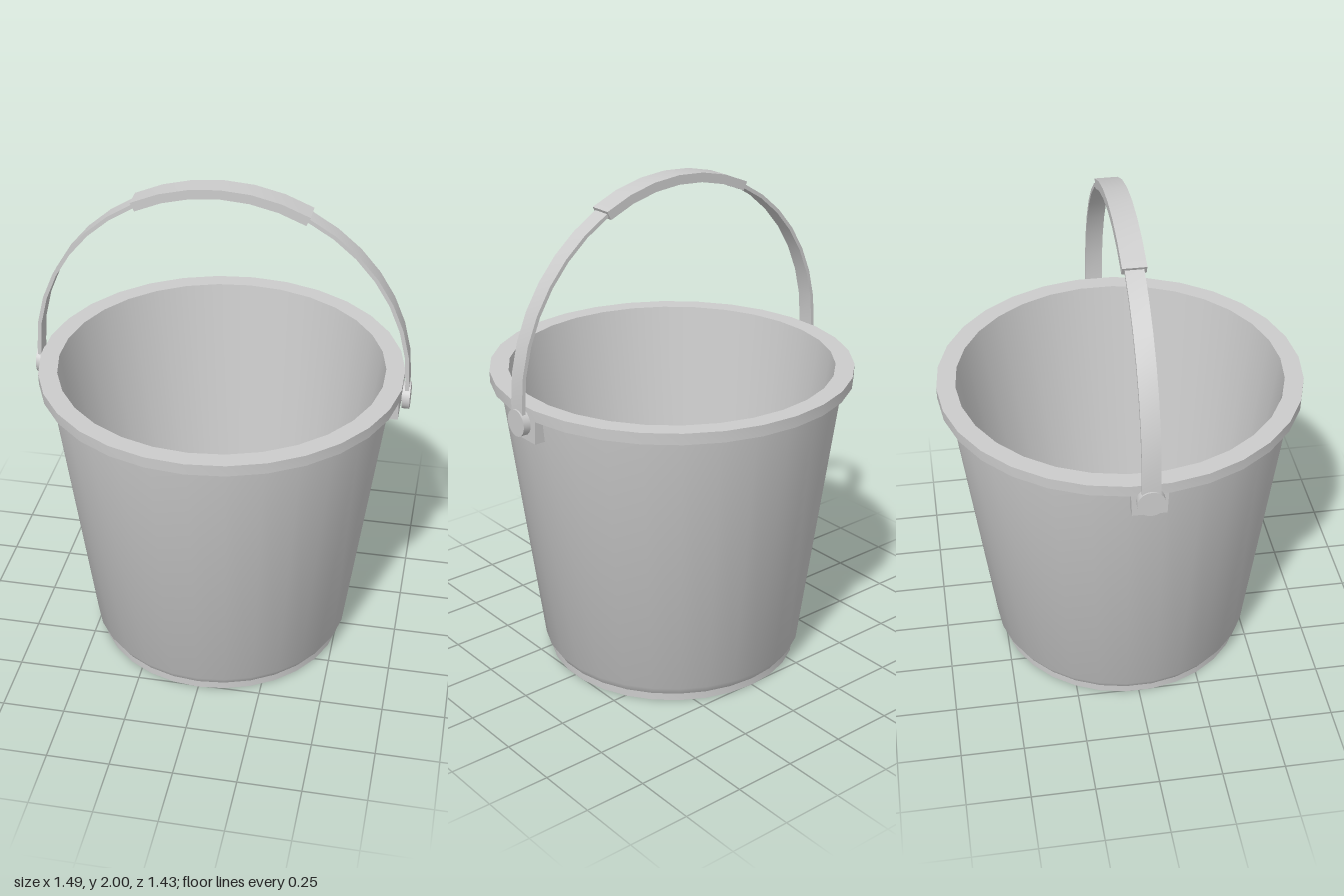
import * as THREE from 'three';
import { toCreasedNormals } from 'three/addons/utils/BufferGeometryUtils.js';

const material = new THREE.MeshStandardMaterial({ color: 0xcccccc });

function addPart(parent, name, geometry, crease = 0.5) {
  const mesh = new THREE.Mesh(toCreasedNormals(geometry, crease), material);
  mesh.name = name;
  parent.add(mesh);
  return mesh;
}

// Curved strip in the xy plane, centred on z = 0; `drop` extends the ends straight down
function bandGeometry({ radius, thickness, width, halfAngle, segments, drop = 0 }) {
  const centreY = 1.25;
  const side = (r) => {
    const points = [];
    for (let i = 0; i <= segments; i++) {
      const a = halfAngle * (1 - (2 * i) / segments);
      points.push(new THREE.Vector2(r * Math.sin(a), centreY + r * Math.cos(a)));
    }
    if (drop) {
      points.unshift(new THREE.Vector2(r, centreY - drop));
      points.push(new THREE.Vector2(-r, centreY - drop));
    }
    return points;
  };
  const outer = side(radius + thickness / 2);
  const inner = side(radius - thickness / 2).reverse();
  const shape = new THREE.Shape([...outer, ...inner]);
  return new THREE.ExtrudeGeometry(shape, { depth: width, bevelEnabled: false })
    .translate(0, 0, -width / 2);
}

export function createModel() {
  const model = new THREE.Group();
  model.name = 'bucket';

  // Pail: foot, tapered outer wall, rim, inner wall and floor in one profile
  const profile = [
    [0, 0], [0.508, 0], [0.508, 0.03], [0.53, 0.065], [0.678, 1.198],
    [0.716, 1.198], [0.717, 1.243], [0.643, 1.243], [0.48, 0.03], [0, 0.03],
  ].map(([r, y]) => new THREE.Vector2(r, y));
  addPart(model, 'pail', new THREE.LatheGeometry(profile, 30));

  // Handle: thin strap with a thicker grip around its top
  const handle = new THREE.Group();
  handle.name = 'handle';
  model.add(handle);
  addPart(handle, 'strap', bandGeometry({
    radius: 0.73, thickness: 0.015, width: 0.07, halfAngle: Math.PI / 2, segments: 20, drop: 0.07,
  }));
  addPart(handle, 'grip', bandGeometry({
    radius: 0.731, thickness: 0.037, width: 0.09, halfAngle: 0.47, segments: 6,
  }));

  // Pivot and bracket on each side
  for (const side of [1, -1]) {
    const label = side > 0 ? 'left' : 'right';

    const disc = new THREE.CylinderGeometry(0.053, 0.053, 0.03, 20).rotateZ(Math.PI / 2);
    addPart(handle, `${label}PivotDisc`, disc).position.set(side * 0.729, 1.178, 0);

    const pin = new THREE.CylinderGeometry(0.025, 0.025, 0.06, 12).rotateZ(Math.PI / 2);
    addPart(handle, `${label}PivotPin`, pin).position.set(side * 0.69, 1.178, 0);

    // Block under the rim, narrowing slightly towards its lower edge
    const block = new THREE.BoxGeometry(0.07, 0.1, 0.14);
    const p = block.attributes.position;
    for (let i = 0; i < p.count; i++) if (p.getY(i) < 0) p.setZ(i, p.getZ(i) * 0.93);
    addPart(model, `${label}Bracket`, block).position.set(side * 0.67, 1.152, 0);
  }

  return model;
}
